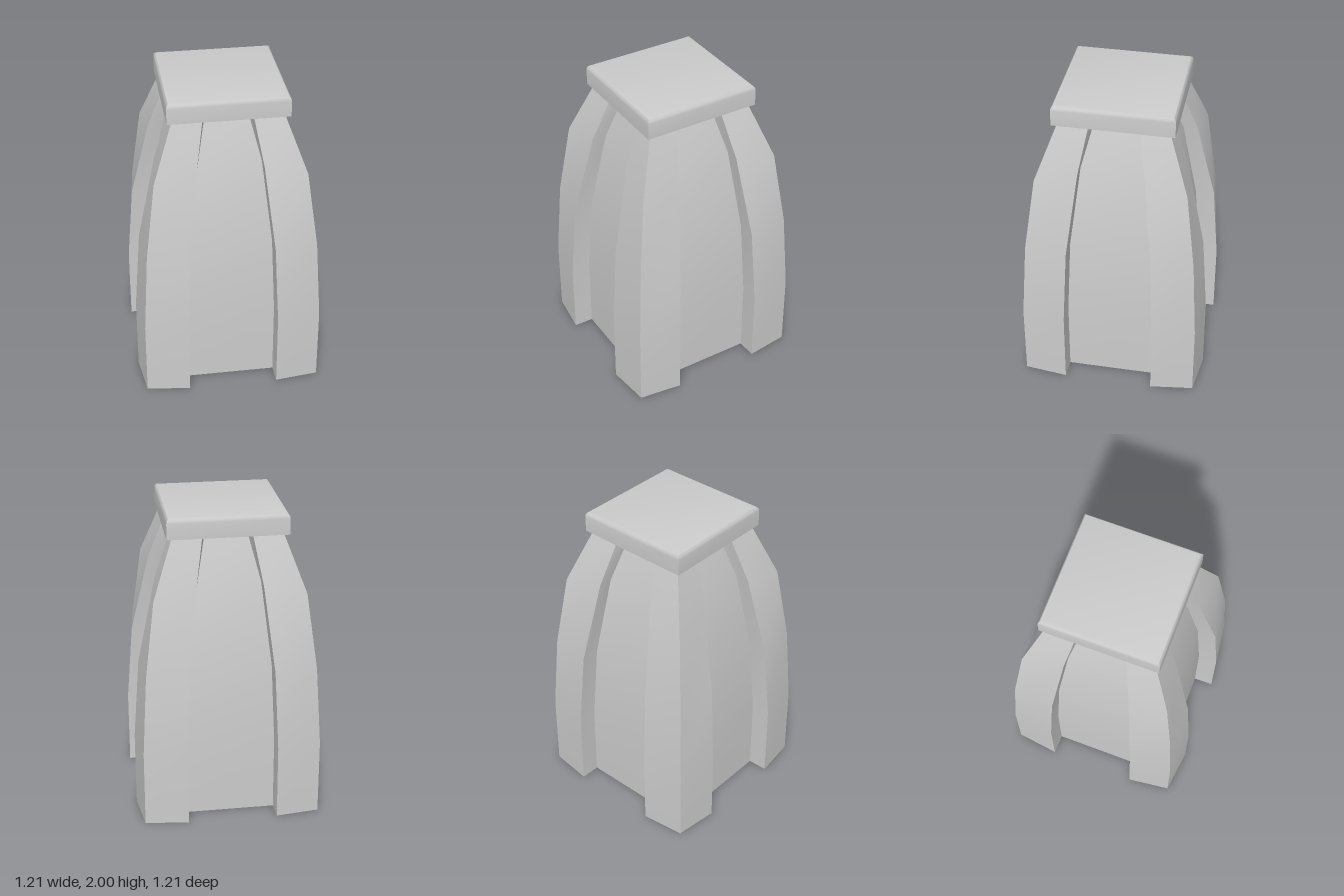
import * as THREE from 'three';
import { toCreasedNormals } from 'three/addons/utils/BufferGeometryUtils.js';

// Skin a list of closed rings (arrays of [x, y, z]), optionally capping both ends of a convex loft
function loft(rings, capped) {
  const n = rings[0].length;
  const index = [];
  for (let r = 0; r < rings.length - 1; r++) {
    for (let i = 0; i < n; i++) {
      const j = (i + 1) % n;
      const a = r * n + i, b = r * n + j, c = a + n, d = b + n;
      index.push(a, b, d, a, d, c);
    }
  }
  if (capped) {
    const top = (rings.length - 1) * n;
    for (let i = 1; i < n - 1; i++) {
      index.push(0, i + 1, i, top, top + i, top + i + 1);
    }
  }
  const geo = new THREE.BufferGeometry();
  geo.setAttribute('position', new THREE.Float32BufferAttribute(rings.flat(2), 3));
  geo.setIndex(index);
  return toCreasedNormals(geo, 0.6);
}

// Repeat one corner's points around the four sides
function fourfold(points) {
  const ring = [];
  for (let k = 0; k < 4; k++) {
    ring.push(...points);
    points = points.map(([x, y, z]) => [z, y, -x]);
  }
  return ring;
}

export function createModel() {
  const group = new THREE.Group();
  const grey = new THREE.MeshStandardMaterial({ color: 0xcccccc });
  const greyOpen = new THREE.MeshStandardMaterial({ color: 0xcccccc, side: THREE.DoubleSide });

  // Hollow body: recessed panels between four flaring corner ribs, open at the bottom
  // height, corner height, corner, rib edge x and z, panel edge x and z
  const levels = [
    [0, 0, 0.57, 0.29, 0.605, 0.287, 0.477],
    [0.5, 0.5, 0.57, 0.29, 0.605, 0.287, 0.477],
    [1.02, 1.02, 0.54, 0.27, 0.565, 0.268, 0.443],
    [1.56, 1.51, 0.477, 0.21, 0.445, 0.208, 0.352],
    [1.87, 1.87, 0.345, 0.155, 0.33, 0.13, 0.25],
  ];
  const rings = levels.map(([y, cy, c, ex, ez, px, pz]) => fourfold([
    [px, y, pz], [ex, y, ez], [c, cy, c], [ez, y, ex], [pz, y, px],
  ]));
  const body = new THREE.Mesh(loft(rings, false), greyOpen);
  body.name = 'ribbedBody';
  group.add(body);

  // Square lid with a rounded upper edge
  const lidProfile = [[0.38, 1.865], [0.38, 1.968], [0.377, 1.983], [0.368, 1.995], [0.35, 2]];
  const lid = new THREE.Mesh(loft(lidProfile.map(([h, y]) => fourfold([[h, y, h]])), true), grey);
  lid.name = 'lid';
  group.add(lid);

  return group;
}
